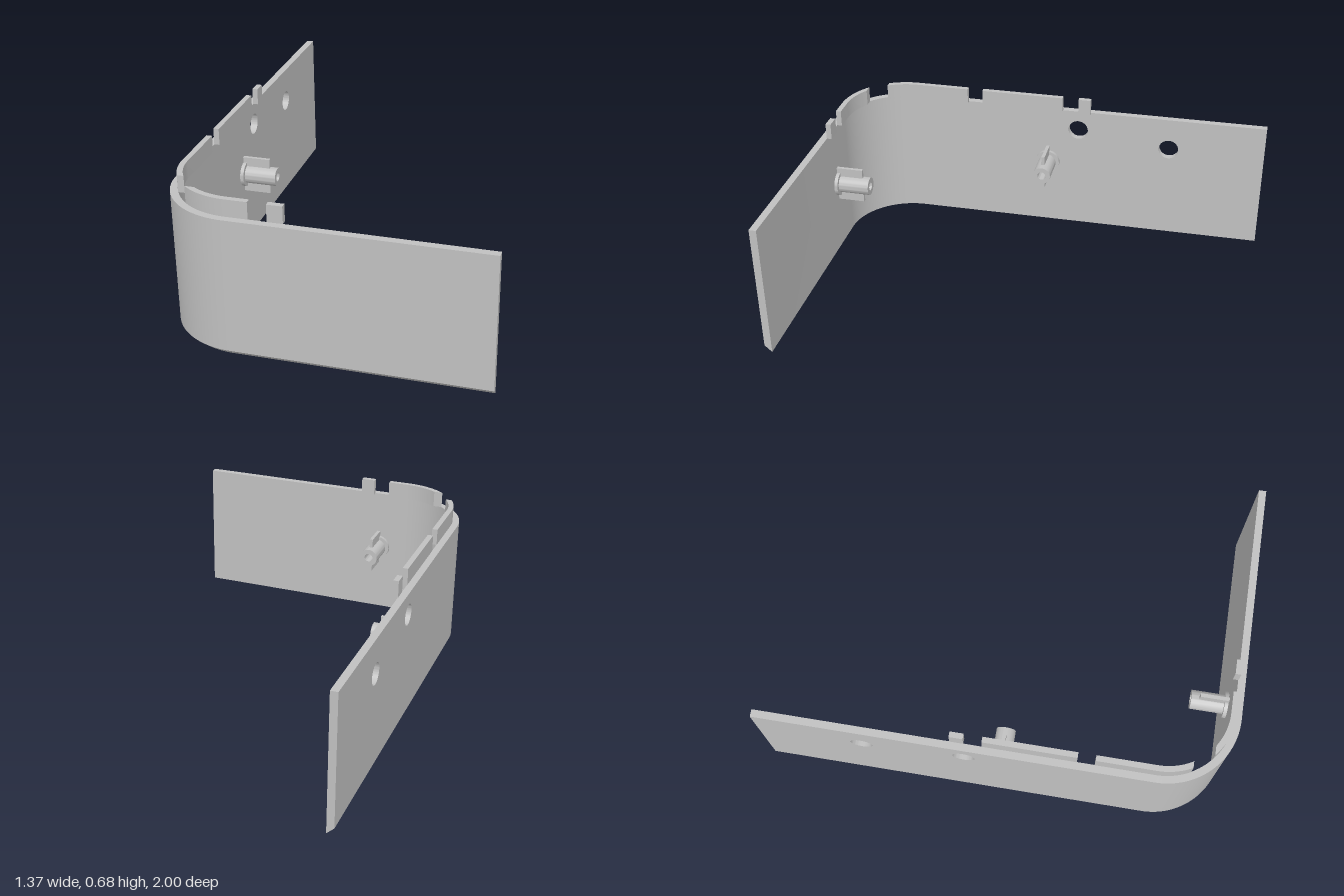
import * as THREE from 'three';
import { toCreasedNormals } from 'three/addons/utils/BufferGeometryUtils.js';

const X0 = -0.687, T = 0.032, H = 0.61, CH = 0.03;   // outer left face, wall thickness, height, chamfer
const R = 0.32, CX = X0 + R, CZ = 1 - R;             // corner radius and centre
const TAB_H = 0.073, TAB_OUT = R - 0.031, TAB_IN = R - 0.055;

// Straight front wall plus rounded corner: chamfered section swept along the plan
function frontAndCorner() {
  const profile = [[0, CH], [0, H], [T, H], [T, 0]];
  const stations = [([d, y]) => [-X0, y, 1 - d]];
  const N = 32;
  for (let i = 0; i <= N; i++) {
    const a = (i / N) * Math.PI / 2;
    stations.push(([d, y]) => [CX - (R - d) * Math.sin(a), y, CZ + (R - d) * Math.cos(a)]);
  }
  const rings = stations.map((s) => profile.map(s));
  const pos = [];
  const quad = (a, b, c, d) => pos.push(...a, ...b, ...c, ...a, ...c, ...d);
  for (let i = 0; i + 1 < rings.length; i++) {
    for (let k = 0; k < 4; k++) {
      const n = (k + 1) % 4;
      quad(rings[i + 1][k], rings[i][k], rings[i][n], rings[i + 1][n]);
    }
  }
  const e = rings[0];
  quad(e[3], e[2], e[1], e[0]);
  const g = new THREE.BufferGeometry();
  g.setAttribute('position', new THREE.Float32BufferAttribute(pos, 3));
  return toCreasedNormals(g, 0.4);
}

// Left wall with two round holes; its outer bottom edge is raised into the chamfer
function sideWall() {
  const s = new THREE.Shape();
  s.moveTo(-1, 0).lineTo(CZ, 0).lineTo(CZ, H).lineTo(-1, H).closePath();
  for (const [z, y] of [[-0.11, 0.512], [-0.549, 0.455]]) {
    s.holes.push(new THREE.Path().absarc(z, y, 0.047, 0, Math.PI * 2, true));
  }
  const g = new THREE.ExtrudeGeometry(s, { depth: T, bevelEnabled: false, curveSegments: 32 });
  g.rotateY(-Math.PI / 2).translate(X0 + T, 0, 0);
  const p = g.attributes.position;
  for (let i = 0; i < p.count; i++) {
    if (p.getX(i) < X0 + 0.005 && p.getY(i) < 0.001) p.setY(i, CH);
  }
  return toCreasedNormals(g, 0.4);
}

// Curved tab: a straight start, then an arc ending on a plane of constant z
function curvedTab(startFor, b0, zEnd) {
  const side = (r) => {
    const b1 = Math.asin((zEnd - CZ) / r), pts = [startFor(r)];
    for (let i = 0; i <= 16; i++) {
      const b = b0 + (b1 - b0) * i / 16;
      pts.push(new THREE.Vector2(CX - r * Math.cos(b), -(CZ + r * Math.sin(b))));
    }
    return pts;
  };
  const s = new THREE.Shape([...side(TAB_OUT), ...side(TAB_IN).reverse()]);
  const g = new THREE.ExtrudeGeometry(s, { depth: TAB_H, bevelEnabled: false });
  g.rotateX(-Math.PI / 2).translate(0, H, 0);
  return toCreasedNormals(g, 0.4);
}

function box(x0, x1, y0, y1, z0, z1) {
  return new THREE.BoxGeometry(x1 - x0, y1 - y0, z1 - z0)
    .translate((x0 + x1) / 2, (y0 + y1) / 2, (z0 + z1) / 2);
}

export function createModel() {
  const group = new THREE.Group();
  const grey = new THREE.MeshStandardMaterial({ color: 0xc0c0c0 });
  grey.name = 'plain grey';
  const add = (name, geometry, parent = group) => {
    const m = new THREE.Mesh(geometry, grey);
    m.name = name;
    parent.add(m);
    return m;
  };

  add('frontWallAndCorner', frontAndCorner());
  add('sideWall', sideWall());

  // Locating tabs along the top inner edge
  const tx0 = CX - TAB_OUT, tx1 = CX - TAB_IN;
  add('sideTabSmall', box(tx0, tx1, H, H + TAB_H, -0.17, -0.112));
  add('sideTabLong', box(tx0, tx1, H, H + TAB_H, -0.035, 0.357));
  add('frontTabSmall', box(-0.2, -0.136, H, H + TAB_H, CZ + TAB_IN, CZ + TAB_OUT));
  add('sideTabCurved', curvedTab((r) => new THREE.Vector2(CX - r, -0.43), 0, 0.82));
  add('frontTabCurved', curvedTab((r) => new THREE.Vector2(-0.275, -(CZ + r)), Math.PI / 2, 0.9));

  // Hollow screw bosses with a collar and two fins
  const profile = [[0.058, 0], [0.058, 0.016], [0.042, 0.016], [0.042, 0.16], [0.02, 0.16], [0.02, 0]]
    .map(([r, y]) => new THREE.Vector2(r, y));
  const bossGeo = toCreasedNormals(new THREE.LatheGeometry(profile, 40).rotateX(Math.PI / 2), 0.5);
  const boss = (name, x, z, turn) => {
    const b = new THREE.Group();
    b.name = name;
    add('bossTube', bossGeo, b);
    add('upperFin', box(-0.008, 0.008, 0.036, 0.083, 0, 0.125), b);
    add('lowerFin', box(-0.008, 0.008, -0.083, -0.036, 0, 0.125), b);
    b.position.set(x, 0.328, z);
    b.rotation.y = turn;
    group.add(b);
  };
  boss('sideBoss', X0 + T, 0.037, Math.PI / 2);
  boss('frontBoss', -0.226, 1 - T, Math.PI);

  return group;
}
